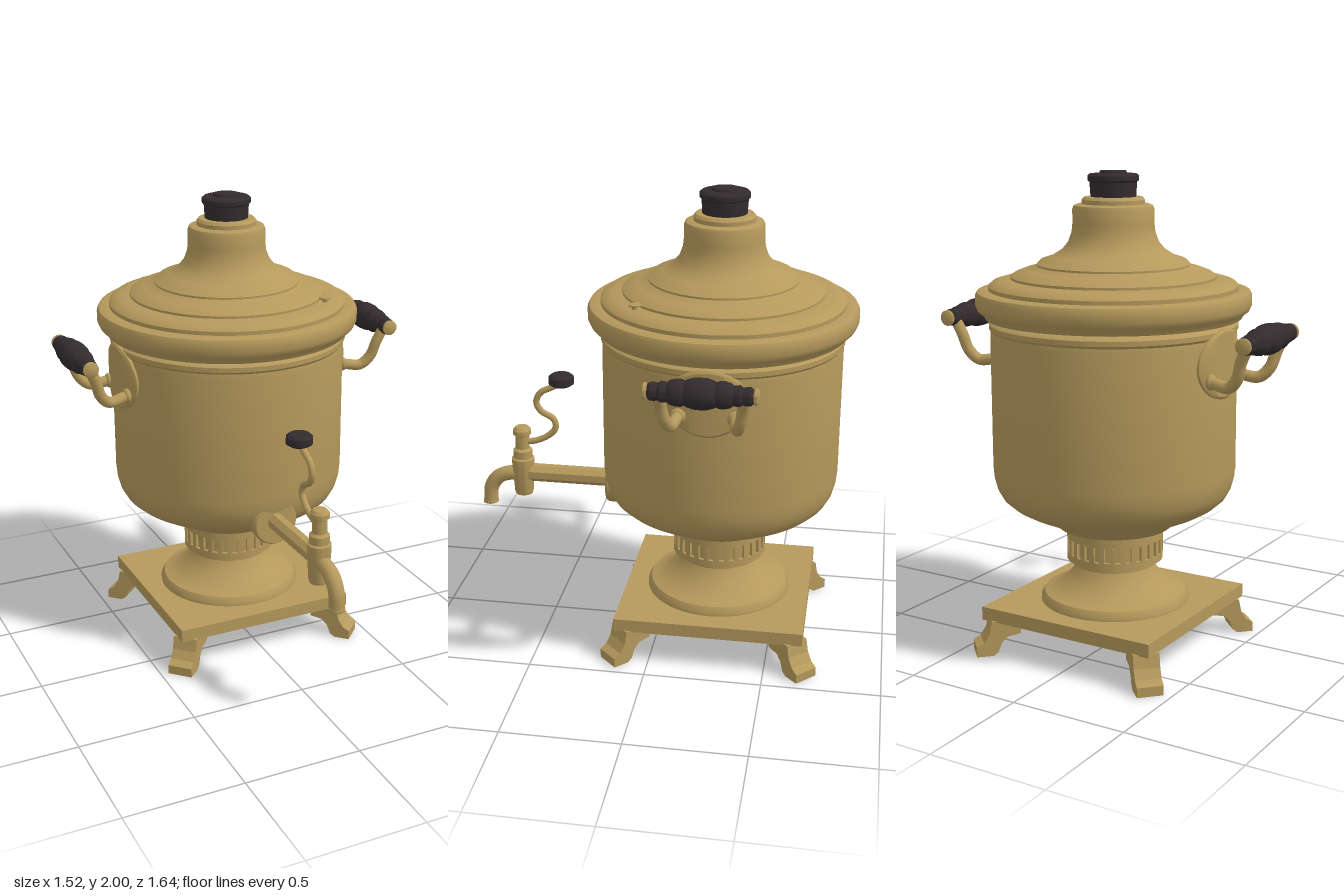
import * as THREE from 'three';
import { toCreasedNormals } from 'three/addons/utils/BufferGeometryUtils.js';

const brass = new THREE.MeshStandardMaterial({ color: 0xb5995c });
brass.name = 'brass';
const ebony = new THREE.MeshStandardMaterial({ color: 0x332c2e });
ebony.name = 'ebony';

const AXIS_Z = -0.257; // vertical axis of the urn

function add(parent, name, geometry, material = brass, x = 0, y = 0, z = 0) {
  const mesh = new THREE.Mesh(geometry, material);
  mesh.name = name;
  mesh.position.set(x, y, z);
  parent.add(mesh);
  return mesh;
}

// Turned part; profile runs from bottom to top as [radius, height]
function turned(profile, segments = 64) {
  const points = profile.map(([r, y]) => new THREE.Vector2(r, y));
  return toCreasedNormals(new THREE.LatheGeometry(points, segments), 0.6);
}

function tube(points, radius, segments = 40) {
  const curve = new THREE.CatmullRomCurve3(points.map((p) => new THREE.Vector3(...p)));
  return new THREE.TubeGeometry(curve, segments, radius, 12);
}

// Oval mounting plate facing +z, optionally wrapped round a cylinder
function ovalPlate(rx, ry, thickness, wrapRadius) {
  const profile = [[0, -0.02], [0.5, -0.02], [1, -0.02], [1, thickness * 0.6], [0.93, thickness],
    [0.6, thickness], [0.3, thickness], [0, thickness]];
  const points = profile.map(([r, y]) => new THREE.Vector2(r, y));
  const geometry = new THREE.LatheGeometry(points, 40);
  geometry.scale(rx, 1, ry).rotateX(Math.PI / 2);
  if (wrapRadius) {
    const p = geometry.attributes.position;
    for (let i = 0; i < p.count; i++) {
      p.setZ(i, p.getZ(i) + Math.sqrt(wrapRadius ** 2 - p.getX(i) ** 2));
    }
  }
  return toCreasedNormals(geometry, 0.6);
}

// Toothed band with recessed vertical slots
function slottedBand(outer, inner, count, height) {
  const shape = new THREE.Shape();
  for (let i = 0; i < count; i++) {
    const a = (i / count) * Math.PI * 2;
    const step = (Math.PI * 2) / count;
    [[outer, 0], [outer, 0.25], [outer, 0.5], [inner, 0.5], [inner, 1]].forEach(([r, t], k) => {
      const x = r * Math.cos(a + t * step), y = r * Math.sin(a + t * step);
      if (i === 0 && k === 0) shape.moveTo(x, y);
      else shape.lineTo(x, y);
    });
  }
  return new THREE.ExtrudeGeometry(shape, { depth: height, bevelEnabled: false }).rotateX(-Math.PI / 2);
}

function makeBase() {
  const base = new THREE.Group();
  base.name = 'base';
  add(base, 'basePlate', new THREE.BoxGeometry(0.81, 0.057, 0.81), brass, 0, 0.1735, 0);

  // Four diagonal bracket feet
  const outline = [[0.42, 0.15], [0.42, 0.09], [0.475, 0.08], [0.5, 0.055], [0.515, 0.015], [0.535, 0],
    [0.605, 0], [0.605, 0.04], [0.575, 0.058], [0.552, 0.095], [0.54, 0.15]];
  const foot = new THREE.ExtrudeGeometry(
    new THREE.Shape(outline.map(([x, y]) => new THREE.Vector2(x, y))),
    { depth: 0.108, bevelEnabled: false }
  ).translate(0, 0, -0.054);
  for (let i = 0; i < 4; i++) {
    add(base, 'foot', foot).rotation.y = Math.PI / 4 + (i * Math.PI) / 2;
  }

  add(base, 'pedestal', turned([[0.315, 0.2], [0.315, 0.215], [0.3, 0.24], [0.27, 0.25], [0.235, 0.27],
    [0.2, 0.3], [0.175, 0.33], [0.163, 0.355], [0.178, 0.36], [0.178, 0.385]]));
  add(base, 'lowerCollarRing', turned([[0.15, 0.38], [0.203, 0.38], [0.203, 0.41], [0.17, 0.41]]));
  add(base, 'slottedCollar', slottedBand(0.203, 0.19, 28, 0.07), brass, 0, 0.405, 0);
  add(base, 'upperCollarRing', turned([[0.17, 0.475], [0.203, 0.475], [0.203, 0.515], [0.17, 0.515]]));
  return base;
}

function makeHandle() {
  const handle = new THREE.Group();
  handle.name = 'sideHandle';
  const y = 1.375;
  add(handle, 'handlePlate', ovalPlate(0.165, 0.14, 0.018, 0.505).rotateY(Math.PI / 2), brass, 0, 1.26, 0);

  // Turned grip, symmetric about its middle
  const half = [[0.061, 0], [0.06, 0.025], [0.052, 0.052], [0.047, 0.06], [0.052, 0.07], [0.053, 0.09],
    [0.047, 0.115], [0.038, 0.125], [0.04, 0.135], [0.041, 0.15], [0.033, 0.16], [0.036, 0.172],
    [0.036, 0.19], [0.028, 0.2], [0, 0.2]];
  const grip = [...half.slice(1).reverse().map(([r, h]) => [r, -h]), ...half];
  add(handle, 'grip', turned(grip, 32), ebony, 0.7, y, 0).rotation.x = Math.PI / 2;

  const cap = [[0, 0.18], [0.022, 0.18], [0.022, 0.203], [0.033, 0.206], [0.033, 0.215], [0.022, 0.221], [0, 0.222]];
  for (const s of [-1, 1]) {
    add(handle, 'gripCap', turned(cap, 24), brass, 0.7, y, 0).rotation.x = (s * Math.PI) / 2;
    add(handle, 'handleArm', tube([[0.47, 1.215, s * 0.108], [0.54, 1.2, s * 0.118], [0.6, 1.195, s * 0.13],
      [0.642, 1.235, s * 0.145], [0.665, 1.305, s * 0.158], [0.7, y, s * 0.165]], 0.024));
    const boss = add(handle, 'armBoss', new THREE.SphereGeometry(0.032, 20, 14), brass, 0.515, 1.205, s * 0.113);
    boss.scale.x = 0.6;
  }
  return handle;
}

function makeTap() {
  const tap = new THREE.Group();
  tap.name = 'tap';
  add(tap, 'tapFlange', ovalPlate(0.1, 0.1, 0.025), brass, 0, 0.675, 0.215);
  const pipe = new THREE.CylinderGeometry(0.04, 0.04, 0.39, 8).rotateY(Math.PI / 8).rotateX(Math.PI / 2);
  add(tap, 'tapPipe', toCreasedNormals(pipe, 0.5), brass, 0, 0.682, 0.405);

  add(tap, 'valveBody', turned([[0, 0.58], [0.038, 0.58], [0.042, 0.595], [0.05, 0.73], [0.05, 0.75],
    [0.042, 0.755], [0.042, 0.79], [0.031, 0.8], [0.031, 0.86], [0.04, 0.866], [0.04, 0.885],
    [0.028, 0.9], [0, 0.902]], 32), brass, 0, 0, 0.63);

  // Curved spout with a closed mouth
  add(tap, 'spout', tube([[0, 0.672, 0.63], [0, 0.672, 0.69], [0, 0.65, 0.745], [0, 0.6, 0.78],
    [0, 0.528, 0.787]], 0.033));
  add(tap, 'spoutMouth', new THREE.CylinderGeometry(0.034, 0.034, 0.012, 24), brass, 0, 0.53, 0.787);

  // Winding key with its dark button
  add(tap, 'keyStem', tube([[0, 0.83, 0.63], [0, 0.835, 0.575], [0, 0.865, 0.51], [0, 0.905, 0.476],
    [0, 0.945, 0.485], [0, 0.98, 0.54], [0, 1.02, 0.56], [0, 1.065, 0.54], [0, 1.09, 0.495],
    [0, 1.115, 0.445]], 0.014, 64));
  add(tap, 'keyButton', turned([[0, 1.105], [0.04, 1.105], [0.055, 1.115], [0.055, 1.145],
    [0.042, 1.156], [0, 1.156]], 32), ebony, 0, 0, 0.445);
  return tap;
}

export function createModel() {
  const model = new THREE.Group();
  model.name = 'teaUrn';
  const urn = new THREE.Group();
  urn.name = 'urn';
  urn.position.z = AXIS_Z;
  model.add(urn);
  urn.add(makeBase());

  // Rounded vessel
  add(urn, 'vessel', turned([[0.15, 0.512], [0.2, 0.513], [0.24, 0.525], [0.262, 0.548], [0.335, 0.582],
    [0.39, 0.607], [0.435, 0.633], [0.47, 0.664], [0.49, 0.7], [0.502, 0.745], [0.506, 0.79], [0.506, 1.34],
    [0.503, 1.36], [0.511, 1.37], [0.511, 1.39], [0.5, 1.4], [0.485, 1.405], [0.485, 1.43]], 96));

  // Stepped lid sweeping up into the chimney
  add(urn, 'lid', turned([[0.48, 1.412], [0.525, 1.412], [0.535, 1.43], [0.555, 1.445], [0.564, 1.465],
    [0.564, 1.505], [0.556, 1.52], [0.535, 1.526], [0.51, 1.526], [0.51, 1.542], [0.495, 1.556],
    [0.46, 1.566], [0.42, 1.57], [0.42, 1.58], [0.4, 1.593], [0.36, 1.608], [0.312, 1.62], [0.312, 1.628],
    [0.295, 1.645], [0.25, 1.66], [0.21, 1.685], [0.185, 1.715], [0.17, 1.755], [0.166, 1.79], [0.166, 1.848],
    [0.16, 1.862], [0.145, 1.868], [0.128, 1.868], [0.128, 1.885], [0.118, 1.896], [0, 1.898]], 96));
  add(urn, 'lidKnob', turned([[0, 1.55], [0.011, 1.55], [0.011, 1.576], [0.026, 1.582], [0.026, 1.588],
    [0, 1.592]], 24), brass, 0.312, 0, 0.317);
  add(urn, 'chimneyCap', turned([[0, 1.893], [0.092, 1.893], [0.096, 1.955], [0.104, 1.962], [0.104, 1.98],
    [0.095, 1.988], [0.056, 1.99], [0.053, 2], [0, 2]], 48), ebony);

  // Matching handles on both sides
  for (const angle of [0, Math.PI]) {
    const handle = makeHandle();
    handle.rotation.y = angle;
    urn.add(handle);
  }

  model.add(makeTap());
  return model;
}
